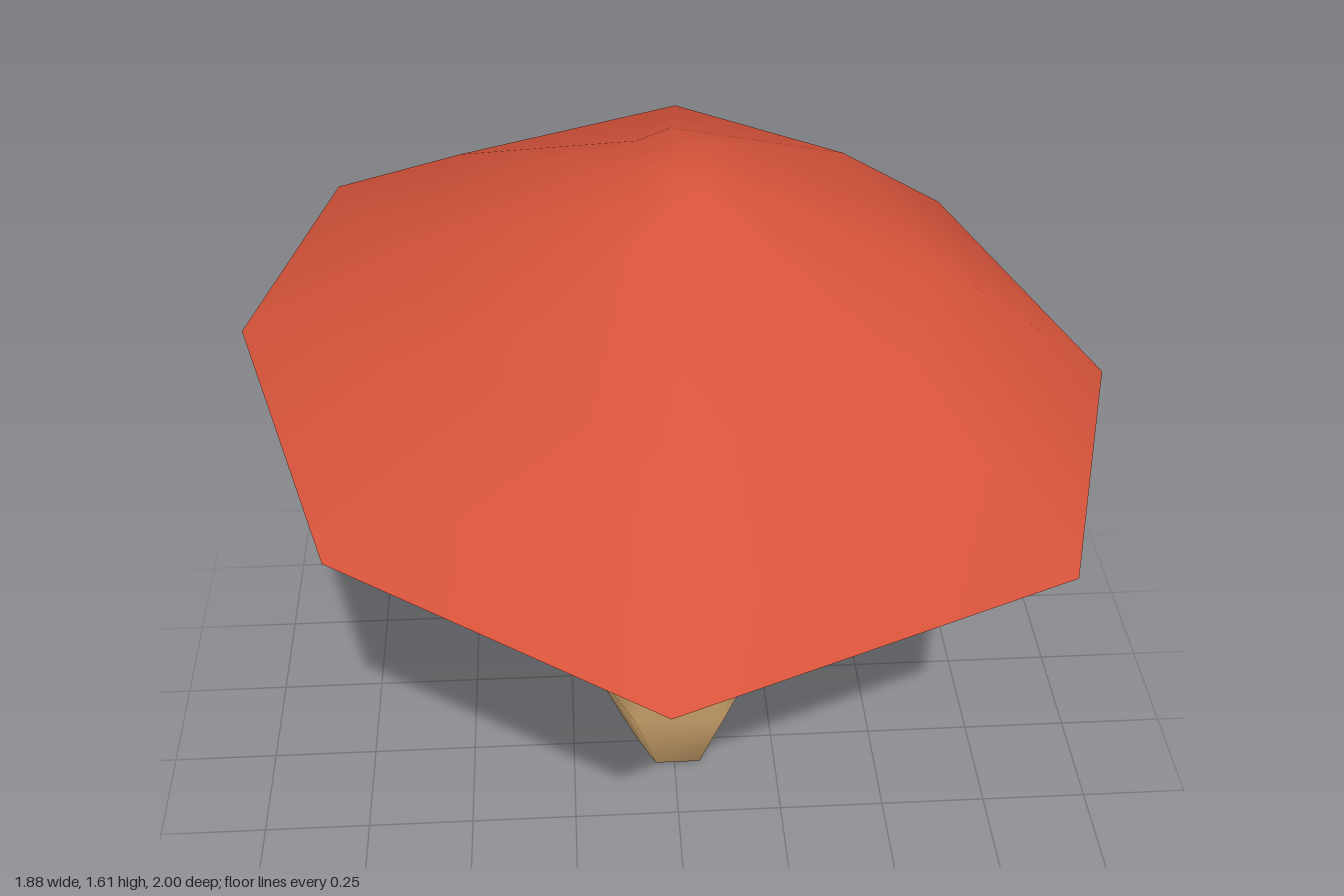
import * as THREE from 'three';

const V = (x, y, z) => new THREE.Vector3(x, y, z);

function build(points, index) {
  const g = new THREE.BufferGeometry().setFromPoints(points);
  g.setIndex(index);
  g.computeVertexNormals();
  return g;
}

// Skin rings listed from bottom to top, each clockwise seen from above
function loft(rings, apex) {
  const n = rings[0].length, points = rings.flat(), index = [];
  for (let r = 0; r < rings.length - 1; r++) {
    for (let i = 0; i < n; i++) {
      const a = r * n + i, b = r * n + (i + 1) % n;
      index.push(b, a, a + n, b, a + n, b + n);
    }
  }
  if (apex) {
    const base = (rings.length - 1) * n;
    for (let i = 0; i < n; i++) index.push(points.length, base + (i + 1) % n, base + i);
    points.push(apex);
  }
  return build(points, index);
}

// Downward-facing fan that closes a ring
function underFan(ring, centre) {
  const n = ring.length, index = [];
  for (let i = 0; i < n; i++) index.push(n, i, (i + 1) % n);
  return build([...ring, centre], index);
}

export function createModel() {
  const group = new THREE.Group();
  const material = (name, color) => new THREE.MeshStandardMaterial({ name, color });
  const red = material('capRed', 0xd6533a);
  const dark = material('gillDark', 0x29231c);
  const tan = material('stemTan', 0xcaa26c);
  const add = (name, geometry, mat) => {
    const mesh = new THREE.Mesh(geometry, mat);
    mesh.name = name;
    group.add(mesh);
  };

  // Cap: uneven eight-sided rim, rising towards the back
  const rim = [
    V(0.07, 1.235, -1), V(0.69, 1.17, -0.64), V(0.94, 1.125, 0.05), V(0.76, 1.055, 0.66),
    V(-0.06, 1.05, 1), V(-0.71, 1.13, 0.62), V(-0.94, 1.19, -0.12), V(-0.77, 1.225, -0.7),
  ];
  const shoulder = rim.map(p => V(p.x * 0.59, 1.41 - p.z * 0.057, p.z * 0.6));
  const crown = rim.map(p => V(p.x * 0.085, 1.607 - p.z * 0.008, p.z * 0.17 - 0.03));
  add('cap', loft([rim, shoulder, crown], V(0, 1.613, -0.03)), red);
  add('capUnderside', underFan(rim, V(0, 1.08, -0.02)), dark);

  // Stem: six-sided, swollen near the foot, slightly tilted rings
  const stemRing = (y, rx, rz, tilt) => Array.from({ length: 6 }, (_, i) => {
    const a = i * Math.PI / 3, z = Math.sin(a) * rz;
    return V(0.008 + Math.cos(a) * rx, y - z * tilt, z - 0.025);
  });
  const foot = stemRing(0.01, 0.11, 0.121, 0.095);
  const belly = stemRing(0.25, 0.212, 0.225, 0.1);
  const neck = stemRing(1.12, 0.144, 0.139, 0.1);
  add('stem', loft([foot, belly, neck]), tan);
  add('stemBase', underFan(foot, V(0.008, 0.01, -0.025)), tan);

  return group;
}
